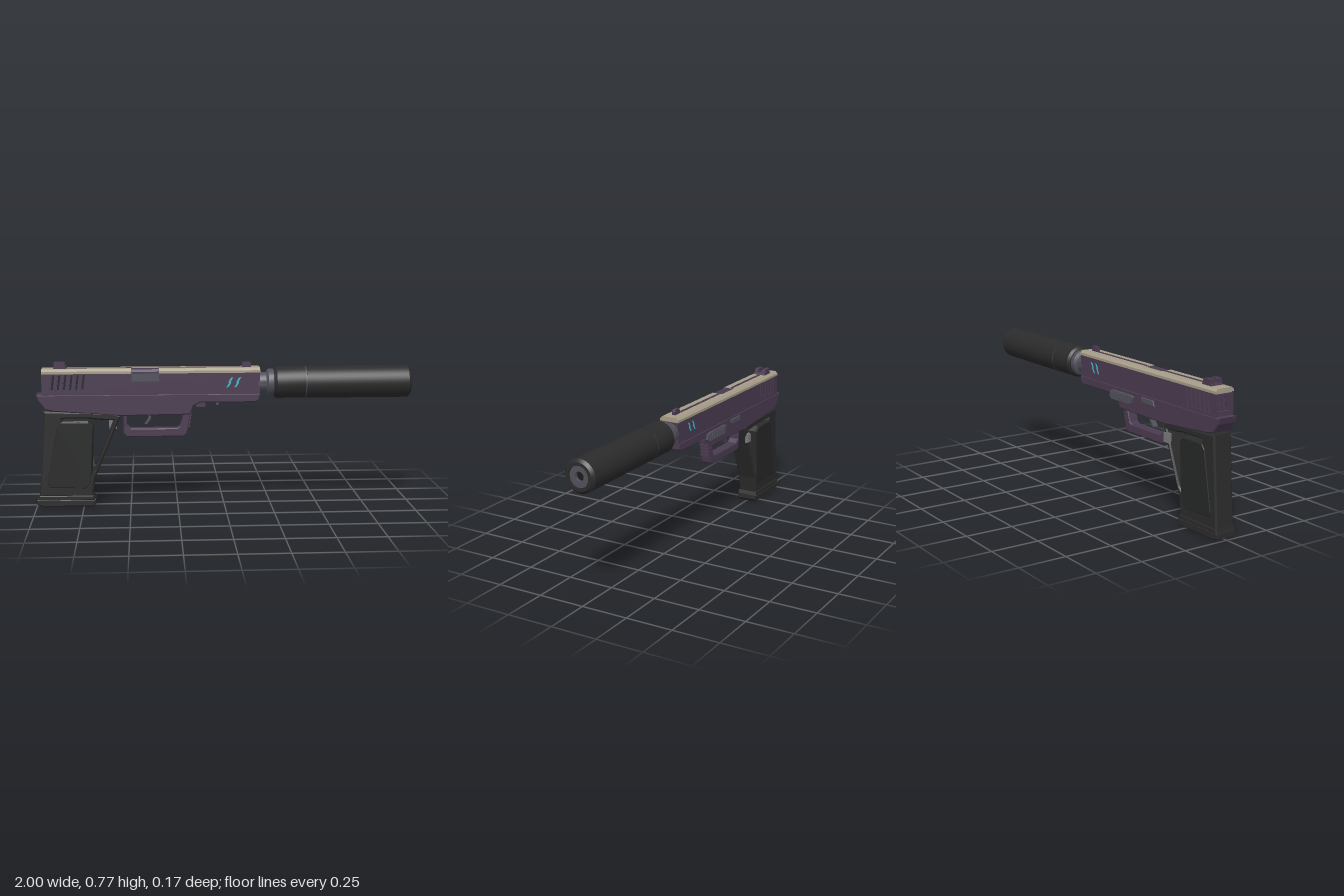
import * as THREE from 'three';
import { toCreasedNormals } from 'three/addons/utils/BufferGeometryUtils.js';

const colour = (name, hex) => {
  const m = new THREE.MeshStandardMaterial({ color: hex });
  m.name = name;
  return m;
};

export function createModel() {
  const purple = colour('purple', 0x4a3b50);
  const black = colour('black', 0x2b2b2b);
  const panelBlack = colour('panel black', 0x262727);
  const cream = colour('cream', 0xa69c88);
  const steel = colour('steel', 0x51505a);
  const silver = colour('silver', 0x77777a);
  const cyan = colour('cyan', 0x45b5c6);
  const dark = colour('bore dark', 0x1b1b1d);

  const model = new THREE.Group();
  const add = (name, geometry, material) => {
    const mesh = new THREE.Mesh(geometry, material);
    mesh.name = name;
    model.add(mesh);
    return mesh;
  };
  const V = (pts) => pts.map(([x, y]) => new THREE.Vector2(x, y));

  // Side profile extruded from z0 to z1, with edges chamfered inward
  const slab = (name, pts, z0, z1, material, bevel = 0, holes = []) => {
    const shape = new THREE.Shape(V(pts));
    holes.forEach((h) => shape.holes.push(new THREE.Path(V(h))));
    const g = new THREE.ExtrudeGeometry(shape, {
      depth: z1 - z0 - 2 * bevel, bevelEnabled: bevel > 0, bevelThickness: bevel,
      bevelSize: bevel, bevelOffset: -bevel, bevelSegments: 1, curveSegments: 6,
    });
    return add(name, g.translate(0, 0, z0 + bevel), material);
  };
  // Cross-section of [z, y] points extruded from x0 to x1
  const beam = (name, pts, x0, x1, material) => {
    const g = new THREE.ExtrudeGeometry(new THREE.Shape(V(pts.map(([z, y]) => [-z, y]))), { depth: x1 - x0, bevelEnabled: false });
    return add(name, g.rotateY(Math.PI / 2).translate(x0, 0, 0), material);
  };
  const box = (name, x0, x1, y0, y1, z0, z1, material) => add(name,
    new THREE.BoxGeometry(x1 - x0, y1 - y0, z1 - z0).translate((x0 + x1) / 2, (y0 + y1) / 2, (z0 + z1) / 2), material);
  // Turned part on the barrel axis, from [radius, x] points
  const turned = (name, pts, material) => add(name,
    toCreasedNormals(new THREE.LatheGeometry(V(pts), 40).rotateZ(-Math.PI / 2), 0.5).translate(0, 0.655, 0), material);

  // Suppressor
  turned('suppressorRear', [[0, 0.265], [0.074, 0.265], [0.085, 0.28], [0.085, 0.432], [0.08, 0.432]], black);
  turned('suppressorRing', [[0.083, 0.43], [0.083, 0.44]], steel);
  turned('suppressorBody', [[0.08, 0.438], [0.086, 0.438], [0.086, 0.985], [0.072, 1], [0.055, 1], [0.055, 0.99]], black);
  turned('suppressorEndCap', [[0.056, 0.992], [0.024, 0.992], [0.024, 0.97]], steel);
  turned('suppressorBore', [[0.024, 0.975], [0, 0.975]], dark);
  turned('suppressorMount', [[0, 0.18], [0.054, 0.18], [0.054, 0.225], [0.064, 0.23], [0.071, 0.235], [0.071, 0.262], [0.064, 0.27], [0, 0.27]], steel);
  turned('barrel', [[0, -0.36], [0.042, -0.36], [0.042, 0.19], [0, 0.19]], steel);

  // Slide walls with slanted through slots; the port is cut in one wall only
  const slots = [];
  for (let i = 0; i < 6; i++) {
    const x = -0.92 + i * 0.0325, w = 0.017 - i * 0.0008;
    slots.push([[x, 0.615], [x + w, 0.615], [x + w + 0.012, 0.708], [x + 0.012, 0.708]]);
  }
  const low = [[-0.96, 0.59], [0.188, 0.59]];
  slab('slideLeftWall', [...low, [0.188, 0.717], [-0.345, 0.717], [-0.345, 0.67], [-0.49, 0.67], [-0.49, 0.717], [-0.96, 0.717]],
    0.041, 0.053, purple, 0, slots);
  slab('slideRightWall', [...low, [0.188, 0.717], [-0.96, 0.717]], -0.053, -0.041, purple, 0, slots);
  box('slideNose', 0.172, 0.188, 0.58, 0.717, -0.042, 0.042, purple);
  box('slideTailBase', -0.958, -0.945, 0.59, 0.625, -0.042, 0.042, purple);
  box('slideTailTop', -0.958, -0.945, 0.7, 0.717, -0.042, 0.042, purple);

  // Cream slide top, narrowed beside the ejection port
  const cap = [[-0.054, 0.713], [0.054, 0.713], [0.054, 0.726], [0.042, 0.738], [-0.042, 0.738], [-0.054, 0.726]];
  beam('slideTopRear', cap, -0.96, -0.49, cream);
  beam('slideTopFront', cap, -0.345, 0.19, cream);
  beam('slideTopBridge', [[-0.054, 0.713], [-0.018, 0.713], [-0.018, 0.738], [-0.042, 0.738], [-0.054, 0.726]], -0.49, -0.345, cream);
  box('topStripeRear', -0.83, -0.49, 0.735, 0.7395, -0.008, 0.008, purple);
  box('topStripeFront', -0.345, 0.09, 0.735, 0.7395, -0.008, 0.008, purple);
  box('chamberBlock', -0.49, -0.345, 0.62, 0.714, -0.018, 0.05, steel);
  beam('chamberTop', [[-0.018, 0.712], [0.051, 0.712], [0.051, 0.722], [0.04, 0.734], [-0.018, 0.734]], -0.488, -0.347, purple);

  // Sights
  slab('rearSightBase', [[-0.9, 0.736], [-0.83, 0.736], [-0.835, 0.75], [-0.895, 0.75]], -0.034, 0.034, purple);
  for (const s of [-1, 1]) {
    const z = s * 0.0225;
    slab('rearSightPost', [[-0.895, 0.745], [-0.835, 0.745], [-0.84, 0.764], [-0.85, 0.77], [-0.895, 0.77]], z - 0.0115, z + 0.0115, purple);
  }
  slab('frontSight', [[0.095, 0.736], [0.145, 0.736], [0.145, 0.755], [0.138, 0.766], [0.1, 0.766]], -0.009, 0.009, purple);

  // Cyan slashes on both sides
  for (const s of [-1, 1]) for (const x of [0.01, 0.052]) {
    slab('slash', [[x, 0.635], [x + 0.012, 0.638], [x + 0.027, 0.662], [x + 0.024, 0.667], [x + 0.038, 0.69], [x + 0.025, 0.688], [x + 0.011, 0.664], [x + 0.014, 0.659]],
      s * 0.053 - 0.002, s * 0.053 + 0.002, cyan);
  }

  // Frame
  slab('frame', [[-0.99, 0.603], [-0.98, 0.572], [-0.945, 0.525], [-0.9, 0.515], [-0.55, 0.488], [-0.18, 0.492], [-0.165, 0.535],
    [-0.13, 0.555], [0.17, 0.555], [0.188, 0.57], [0.188, 0.603]], -0.056, 0.056, purple, 0.006);
  box('railRecess', -0.06, 0.14, 0.553, 0.556, -0.03, 0.03, dark);
  box('takedownCatch', -0.15, -0.1, 0.532, 0.556, -0.046, 0.046, purple);
  add('frontLug', new THREE.CylinderGeometry(0.009, 0.009, 0.03, 12).rotateX(Math.PI / 2).translate(-0.035, 0.545, 0), steel);

  // Trigger guard with front ridges
  slab('triggerGuard', [[-0.535, 0.505], [-0.535, 0.39], [-0.517, 0.37], [-0.215, 0.37], [-0.197, 0.385], [-0.176, 0.505]],
    -0.028, 0.028, purple, 0.005, [[[-0.517, 0.49], [-0.517, 0.435], [-0.497, 0.415], [-0.25, 0.415], [-0.235, 0.425], [-0.215, 0.49]]]);
  for (let i = 0; i < 4; i++) {
    const y = 0.42 + i * 0.02, x = -0.195 + i * 0.0035;
    box('guardRidge', x - 0.01, x + 0.012, y, y + 0.011, -0.026, 0.026, purple);
  }
  slab('trigger', [[-0.41, 0.5], [-0.4, 0.47], [-0.423, 0.437], [-0.41, 0.437], [-0.39, 0.465], [-0.385, 0.5]], -0.014, 0.014, steel);

  // Grip with an open window ahead of the panel
  slab('grip', [[-0.952, 0.515], [-0.985, 0.055], [-0.703, 0.055], [-0.69, 0.15], [-0.548, 0.488], [-0.6, 0.505]], -0.054, 0.054, black, 0.008,
    [[[-0.705, 0.18], [-0.688, 0.2], [-0.585, 0.465], [-0.66, 0.468], [-0.72, 0.476], [-0.86, 0.476], [-0.855, 0.462], [-0.72, 0.462], [-0.695, 0.435]]]);
  for (const s of [-1, 1]) {
    slab('gripPanel', [[-0.93, 0.105], [-0.74, 0.1], [-0.712, 0.13], [-0.695, 0.435], [-0.72, 0.455], [-0.865, 0.455], [-0.885, 0.43], [-0.94, 0.13]],
      s * 0.052 - 0.005, s * 0.052 + 0.005, panelBlack, 0.003);
  }
  // Magazine floor
  slab('magazineNeck', [[-0.99, 0.035], [-0.69, 0.035], [-0.7, 0.06], [-0.985, 0.06]], -0.057, 0.057, black, 0.004);
  slab('magazineBase', [[-0.97, 0.002], [-0.7, 0], [-0.685, 0.018], [-0.687, 0.04], [-0.998, 0.04], [-0.998, 0.012]], -0.058, 0.058, black, 0.006);

  // Controls on the right side
  slab('slideLever', [[-0.315, 0.575], [-0.3, 0.54], [-0.27, 0.53], [-0.12, 0.53], [-0.1, 0.545], [-0.105, 0.575], [-0.13, 0.582], [-0.3, 0.582]],
    -0.066, -0.05, steel, 0.003);
  for (let i = 0; i < 9; i++) {
    const x = -0.285 + i * 0.019;
    box('leverRidge', x, x + 0.01, 0.537, 0.574, -0.073, -0.064, steel);
  }
  slab('slideCatch', [[-0.49, 0.56], [-0.385, 0.56], [-0.375, 0.57], [-0.375, 0.59], [-0.48, 0.59]], -0.062, -0.05, steel, 0.003);
  for (let i = 0; i < 4; i++) box('magazineButtonRidge', -0.61, -0.575, 0.402 + i * 0.012, 0.41 + i * 0.012, -0.065, -0.05, silver);
  box('magazineButton', -0.613, -0.572, 0.4, 0.45, -0.061, -0.045, silver);
  // Frame pins
  for (const [x, y] of [[-0.46, 0.525], [-0.23, 0.53]]) {
    add('framePin', new THREE.CylinderGeometry(0.008, 0.008, 0.116, 12).rotateX(Math.PI / 2).translate(x, y, 0), purple);
  }
  return model;
}
